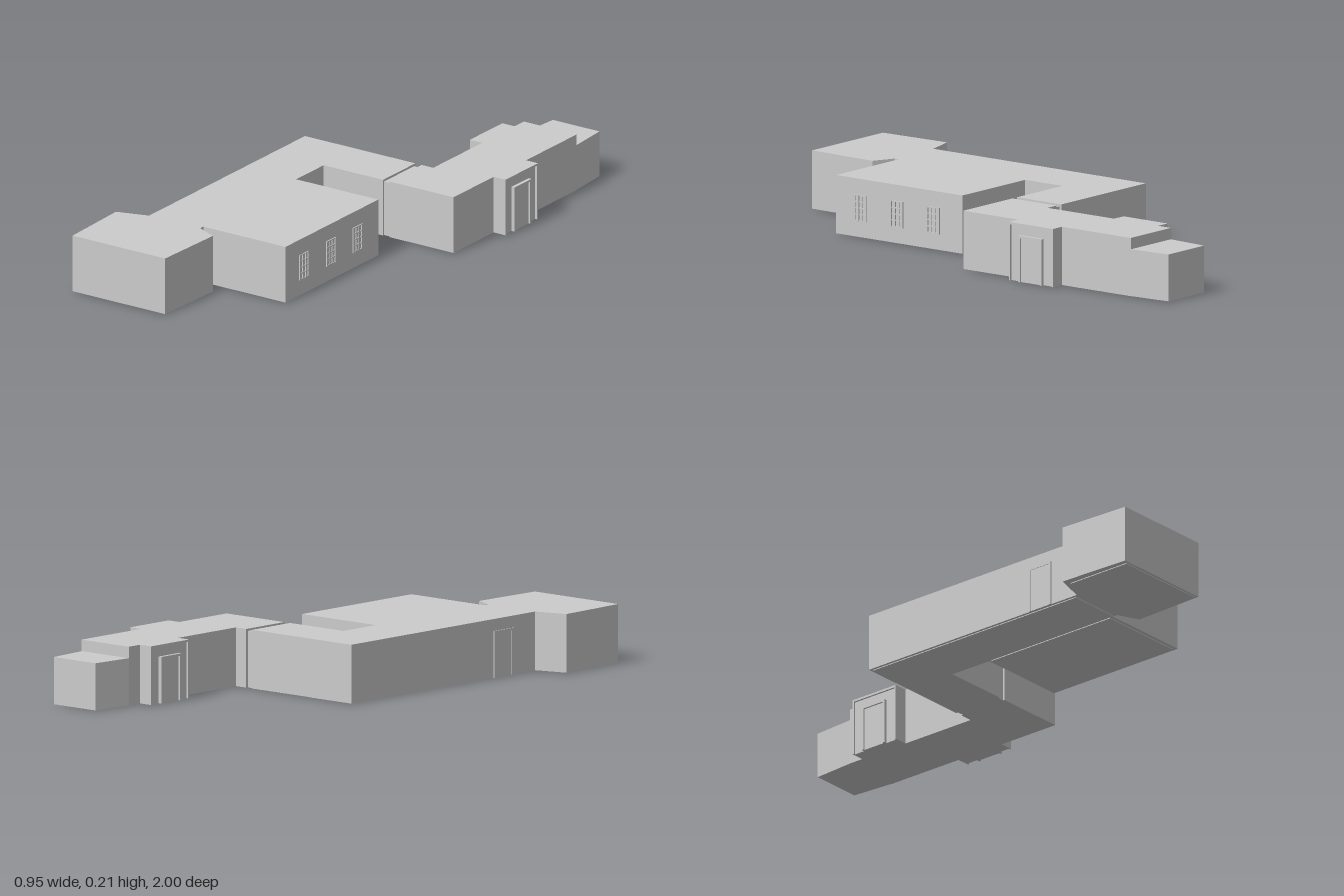
import * as THREE from 'three';

const material = new THREE.MeshStandardMaterial({ color: 0xcccccc, flatShading: true });
const ROOF = 0.213;

// Box given by its limits on each axis
function box(name, x0, x1, y0, y1, z0, z1) {
  const mesh = new THREE.Mesh(new THREE.BoxGeometry(x1 - x0, y1 - y0, z1 - z0), material);
  mesh.position.set((x0 + x1) / 2, (y0 + y1) / 2, (z0 + z1) / 2);
  mesh.name = name;
  return mesh;
}

// Floor plan of [x, z] corners raised to a flat roof
function block(name, plan, bottom, top) {
  const shape = new THREE.Shape(plan.map(([x, z]) => new THREE.Vector2(x, -z)));
  const geometry = new THREE.ExtrudeGeometry(shape, { depth: top - bottom, bevelEnabled: false });
  geometry.rotateX(-Math.PI / 2);
  geometry.translate(0, bottom, 0);
  const mesh = new THREE.Mesh(geometry, material);
  mesh.name = name;
  return mesh;
}

// Barred window facing +x, centred on its own z
function barredWindow() {
  const group = new THREE.Group();
  group.name = 'window';
  const w = 0.056, y0 = 0.06, y1 = 0.155, t = 0.004;
  for (let i = 0; i <= 3; i++) {
    const z = -w / 2 + (w - t) * i / 3;
    group.add(box('uprightBar', -0.002, 0.004, y0, y1, z, z + t));
  }
  for (let i = 0; i <= 4; i++) {
    const y = y0 + (y1 - y0 - t) * i / 4;
    group.add(box('crossBar', -0.002, 0.0035, y, y + t, -w / 2, w / 2));
  }
  return group;
}

// Door facing +x: two jambs, a head and a slightly recessed leaf
function door(width, height, depth) {
  const group = new THREE.Group();
  group.name = 'door';
  const h = width / 2, t = 0.008;
  group.add(
    box('doorLeaf', -0.004, depth * 0.5, 0.003, height - t, -h + t, h - t),
    box('doorHead', -0.004, depth, height - t, height, -h, h),
  );
  for (const z of [-h, h - t]) group.add(box('doorJamb', -0.004, depth, 0.003, height, z, z + t));
  return group;
}

// Projecting porch facing +x, with a thin lip around its front
function porch() {
  const group = new THREE.Group();
  group.name = 'porch';
  const h = 0.1, t = 0.006;
  group.add(
    box('porchBody', -0.01, 0.042, 0.003, ROOF, -h, h),
    box('porchLintel', 0.042, 0.049, 0.205, ROOF, -h, h),
  );
  for (const z of [-h, h - t]) group.add(box('porchPier', 0.042, 0.049, 0.003, 0.205, z, z + t));
  const entrance = door(0.105, 0.17, 0.013);
  entrance.position.x = 0.042;
  group.add(entrance);
  return group;
}

export function createModel() {
  const model = new THREE.Group();
  model.name = 'building';

  // Long west wing with its back arm, hall and flared front room
  const mainPlan = [
    [-0.36, -0.28], [0.115, -0.28], [0.115, -0.08], [-0.14, -0.08],
    [-0.14, 0.09], [0.213, 0.09], [0.213, 0.663], [-0.14, 0.663], [-0.14, 0.683],
    [-0.06, 0.718], [-0.07, 1], [-0.468, 1], [-0.478, 0.718], [-0.36, 0.683],
  ];
  model.add(block('mainBuilding', mainPlan, 0.003, ROOF));

  // L-shaped rear wing
  const rearPlan = [
    [0.142, -0.28], [0.192, -0.28], [0.192, -0.84], [0.418, -0.84], [0.418, -0.08], [0.142, -0.08],
  ];
  model.add(block('rearWing', rearPlan, 0.003, ROOF));

  // Lower tapered room at the far end
  const endPlan = [[0.192, -0.835], [0.205, -1], [0.405, -1], [0.417, -0.835]];
  model.add(block('endRoom', endPlan, 0.003, 0.172));

  // Narrow link between the two buildings
  model.add(box('link', 0.11, 0.147, 0.003, 0.205, -0.272, -0.086));

  // Thin floor slabs under the wings
  model.add(
    box('floorSlab', -0.35, -0.15, 0, 0.004, -0.27, 0.67),
    box('floorSlab', -0.14, 0.2, 0, 0.004, 0.1, 0.65),
    box('floorSlab', -0.45, -0.08, 0, 0.004, 0.73, 0.99),
  );

  // Hall windows
  for (const z of [0.22, 0.385, 0.55]) {
    const w = barredWindow();
    w.position.set(0.213, 0, z);
    model.add(w);
  }

  // Side door of the main wing
  const sideDoor = door(0.1, 0.17, 0.004);
  sideDoor.position.set(-0.36, 0, 0.515);
  sideDoor.rotation.y = Math.PI;
  model.add(sideDoor);

  // Porches on both sides of the rear wing
  const leftPorch = porch();
  leftPorch.position.set(0.42, 0, -0.428);
  const rightPorch = porch();
  rightPorch.position.set(0.188, 0, -0.682);
  rightPorch.rotation.y = Math.PI;
  model.add(leftPorch, rightPorch);

  return model;
}
